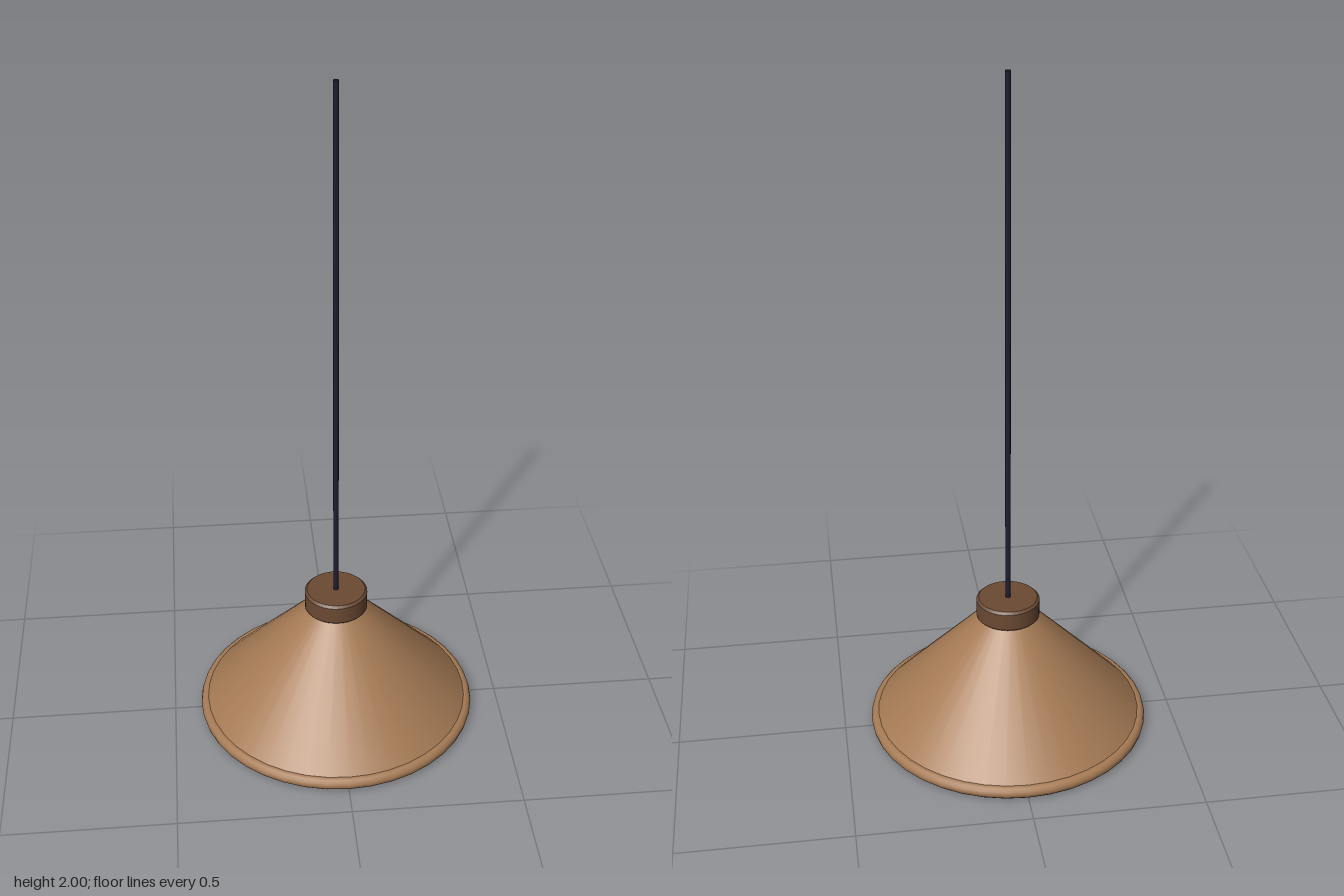
import * as THREE from 'three';

const material = (name, color, side = THREE.FrontSide) => {
  const m = new THREE.MeshStandardMaterial({ color, side });
  m.name = name;
  return m;
};

export function createModel() {
  const group = new THREE.Group();
  group.name = 'pendantLamp';

  const copper = material('copper', 0xa67b55, THREE.DoubleSide);
  const darkBronze = material('darkBronze', 0x6b4a33);
  const cordBlack = material('cordBlack', 0x1d1d30);
  const warmGlass = material('warmGlass', 0xf0dca8);

  const add = (name, geometry, mat, y) => {
    const mesh = new THREE.Mesh(geometry, mat);
    mesh.name = name;
    mesh.position.y = y;
    group.add(mesh);
    return mesh;
  };

  // Open conical shade, one thin sheet seen from both sides
  const shadeBottom = 0.034, shadeTop = 0.365;
  add('shade',
    new THREE.CylinderGeometry(0.086, 0.4, shadeTop - shadeBottom, 40, 1, true),
    copper, (shadeBottom + shadeTop) / 2);

  // Rolled rim around the mouth of the shade
  add('rim', new THREE.TorusGeometry(0.4, 0.019, 12, 40).rotateX(Math.PI / 2), copper, 0.019);

  // Cap with slightly bevelled edges; each run is its own lathe so edges stay crisp
  const capRadius = 0.094, capHeight = 0.065, bevel = 0.007;
  const capProfile = [
    [0, 0], [capRadius - bevel, 0], [capRadius, bevel],
    [capRadius, capHeight - bevel], [capRadius - bevel, capHeight], [0, capHeight],
  ].map(([r, y]) => new THREE.Vector2(r, y));
  const cap = new THREE.Group();
  cap.name = 'cap';
  cap.position.y = 0.36;
  for (let i = 0; i < capProfile.length - 1; i++) {
    const run = new THREE.Mesh(new THREE.LatheGeometry(capProfile.slice(i, i + 2), 40), darkBronze);
    run.name = 'capSurface' + (i + 1);
    cap.add(run);
  }
  group.add(cap);

  // Hanging cord
  add('cord', new THREE.CylinderGeometry(0.008, 0.008, 1.58, 12), cordBlack, 1.21);

  // Bulb and the slim socket that holds it under the cap
  add('bulb', new THREE.SphereGeometry(0.076, 32, 20), warmGlass, 0.133);
  add('socket', new THREE.CylinderGeometry(0.03, 0.03, 0.17, 20), darkBronze, 0.28);

  return group;
}
